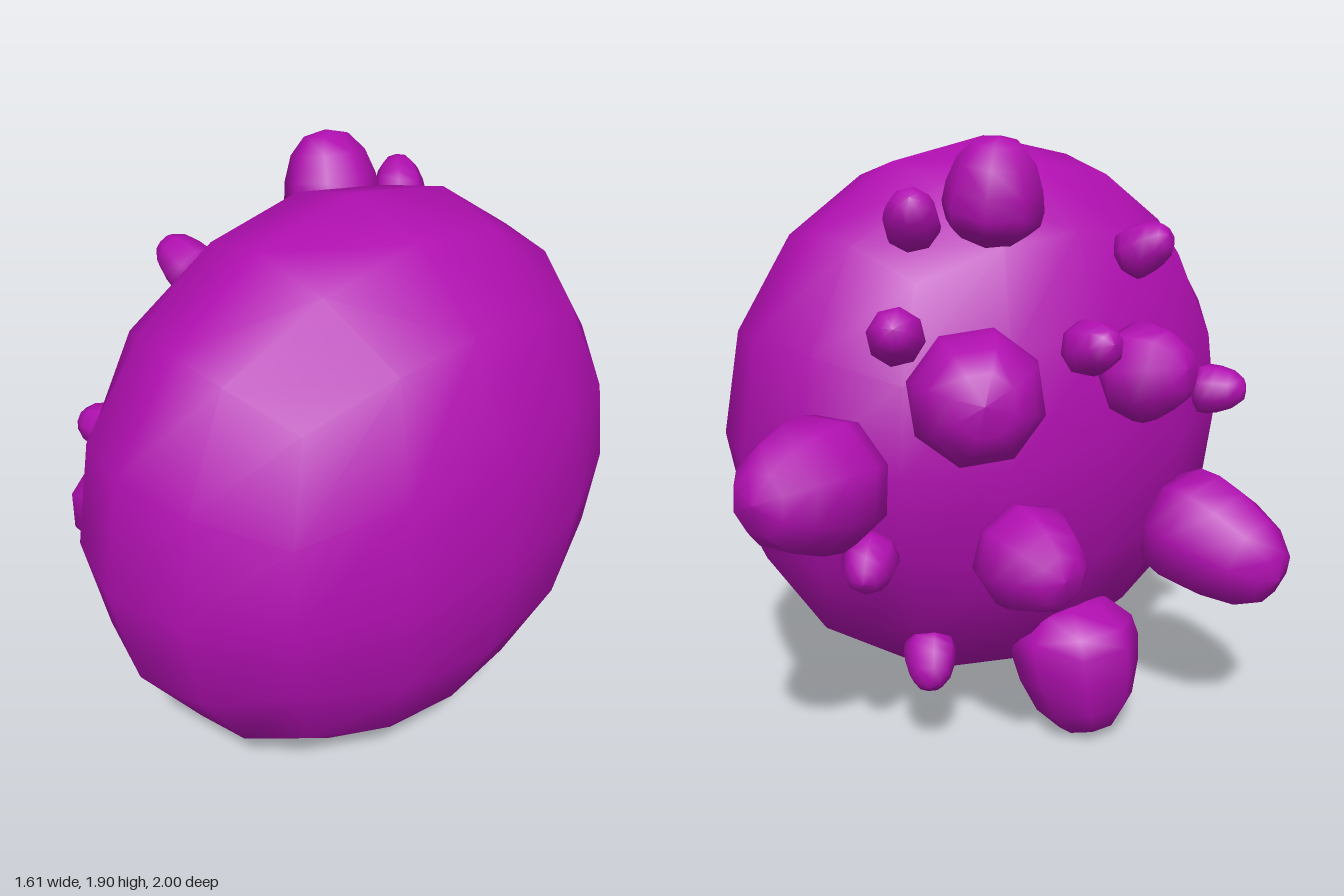
import * as THREE from 'three';
import { mergeVertices } from 'three/addons/utils/BufferGeometryUtils.js';

const CENTER = new THREE.Vector3(0.15, 0.985, 0.09);
const RADII = new THREE.Vector3(0.65, 0.9, 0.9);
const UP = new THREE.Vector3(0, 1, 0);

// Cube projected onto an ellipsoid: sixteen even steps around each axis
function bodyGeometry() {
  let geo = new THREE.BoxGeometry(2, 2, 2, 4, 4, 4);
  geo.deleteAttribute('uv');
  geo.deleteAttribute('normal');
  geo = mergeVertices(geo);
  const pos = geo.attributes.position;
  const v = new THREE.Vector3();
  const even = (c) => Math.tan(c * Math.PI / 4);
  for (let i = 0; i < pos.count; i++) {
    v.fromBufferAttribute(pos, i);
    v.set(even(v.x), even(v.y), even(v.z)).normalize().multiply(RADII);
    pos.setXYZ(i, v.x, v.y, v.z);
  }
  geo.computeVertexNormals();
  return geo;
}

// Blunt tapered knob, unit radius, base at y = 0 and tip at y = 1
const KNOB_PROFILE = [
  [0, -0.2], [0.6, -0.15], [0.95, 0.05], [1, 0.22], [0.94, 0.45],
  [0.76, 0.74], [0.45, 0.94], [0, 1],
].map(([r, y]) => new THREE.Vector2(r, y));

export function createModel() {
  const group = new THREE.Group();
  const material = new THREE.MeshStandardMaterial({ color: 0xb00fb0 });

  const body = new THREE.Mesh(bodyGeometry(), material);
  body.name = 'body';
  body.position.copy(CENTER);
  group.add(body);

  const knobGeo = new THREE.LatheGeometry(KNOB_PROFILE, 8);
  function addKnob(name, base, tip, radius) {
    const axis = tip.clone().sub(base);
    const knob = new THREE.Mesh(knobGeo, material);
    knob.name = name;
    knob.position.copy(base);
    knob.scale.set(radius, axis.length(), radius);
    knob.quaternion.setFromUnitVectors(UP, axis.normalize());
    group.add(knob);
  }

  // Large and medium knobs: base, tip, radius
  [
    ['lowerHorn', [-0.30, 0.36, 0.11], [-0.39, 0, 0.12], 0.21],
    ['frontHorn', [-0.42, 0.68, 0.45], [-0.81, 0.57, 0.51], 0.2],
    ['backHorn', [-0.18, 0.97, -0.66], [-0.32, 1.0, -1.0], 0.2],
    ['upperKnob', [-0.21, 1.65, -0.15], [-0.27, 1.9, -0.17], 0.15],
    ['middleKnob', [-0.37, 1.2, -0.33], [-0.61, 1.24, -0.47], 0.2],
    ['frontKnob', [-0.46, 1.21, 0.17], [-0.68, 1.26, 0.2], 0.15],
    ['lowerKnob', [-0.45, 0.74, -0.24], [-0.72, 0.74, -0.28], 0.16],
  ].forEach(([name, base, tip, r]) =>
    addKnob(name, new THREE.Vector3(...base), new THREE.Vector3(...tip), r));

  // Small warts, pointing straight out from the body
  [
    [-0.20, 1.69, -0.42], [-0.39, 1.57, 0.30], [-0.31, 1.39, -0.55],
    [-0.54, 1.33, -0.03], [-0.43, 1.09, 0.61], [-0.28, 0.73, -0.635],
    [-0.21, 0.325, -0.385],
  ].forEach((p) => {
    const c = new THREE.Vector3(...p);
    const n = c.clone().sub(CENTER).divide(RADII).divide(RADII).normalize();
    addKnob('wart', c.clone().addScaledVector(n, -0.07), c.clone().addScaledVector(n, 0.09), 0.083);
  });

  return group;
}
